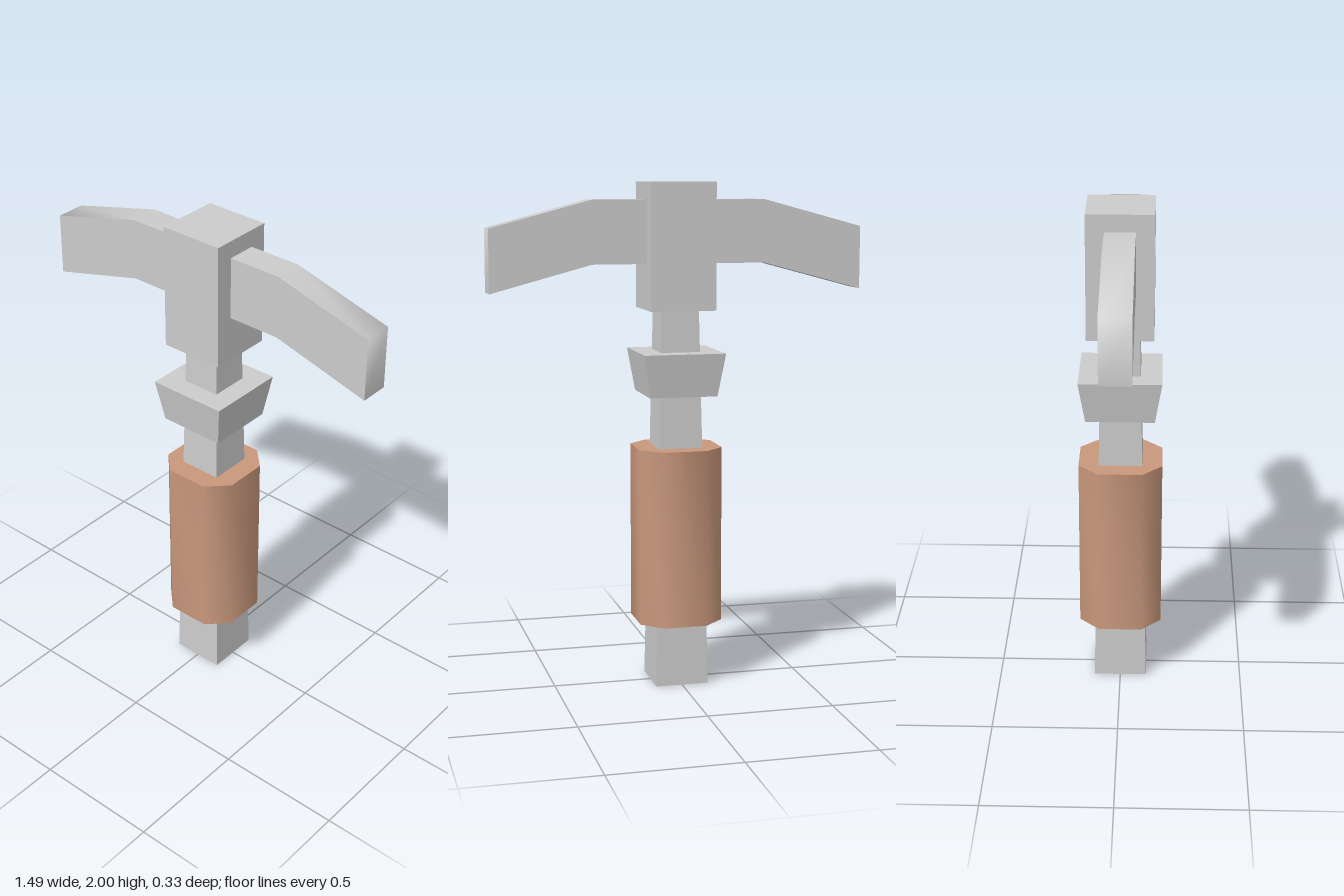
import * as THREE from 'three';
import { toCreasedNormals } from 'three/addons/utils/BufferGeometryUtils.js';

const CREASE = 1.35; // soft bends stay smooth, square edges stay sharp

export function createModel() {
  const group = new THREE.Group();
  const metal = new THREE.MeshStandardMaterial({ color: 0xcccccc });
  const wood = new THREE.MeshStandardMaterial({ color: 0xc9987c });

  const add = (name, geometry, material = metal) => {
    const mesh = new THREE.Mesh(toCreasedNormals(geometry, CREASE), material);
    mesh.name = name;
    group.add(mesh);
    return mesh;
  };

  // Square post from y0 to y1 with different half-widths at its ends
  const taperedPost = (y0, y1, bottom, top) =>
    new THREE.CylinderGeometry(top * Math.SQRT2, bottom * Math.SQRT2, y1 - y0, 4)
      .rotateY(Math.PI / 4)
      .translate(0, (y0 + y1) / 2, 0);

  // Straight extrusion of an outline
  const extrude = (points, depth) =>
    new THREE.ExtrudeGeometry(
      new THREE.Shape(points.map(([x, y]) => new THREE.Vector2(x, y))),
      { depth, bevelEnabled: false }
    );

  add('shaft', taperedPost(0, 1.55, 0.107, 0.074));
  add('collar', taperedPost(1.17, 1.34, 0.135, 0.162));
  add('headBlock', new THREE.BoxGeometry(0.26, 0.495, 0.26).translate(0, 1.7525, 0));

  // Grip: square sleeve with chamfered corners
  const a = 0.166, b = 0.087;
  const octagon = [[a, -b], [a, b], [b, a], [-b, a], [-a, b], [-a, -b], [-b, -a], [b, -a]];
  add('grip', extrude(octagon, 0.705).rotateX(-Math.PI / 2).translate(0, 0.255, 0), wood);

  // Two arms that bend downwards
  const armOutline = [
    [0.1, 1.685], [0.345, 1.685], [0.743, 1.578],
    [0.743, 1.825], [0.345, 1.932], [0.1, 1.932],
  ];
  for (const [name, turn] of [['leftArm', 0], ['rightArm', Math.PI]]) {
    add(name, extrude(armOutline, 0.118).translate(0, 0, -0.059).rotateY(turn));
  }

  return group;
}
